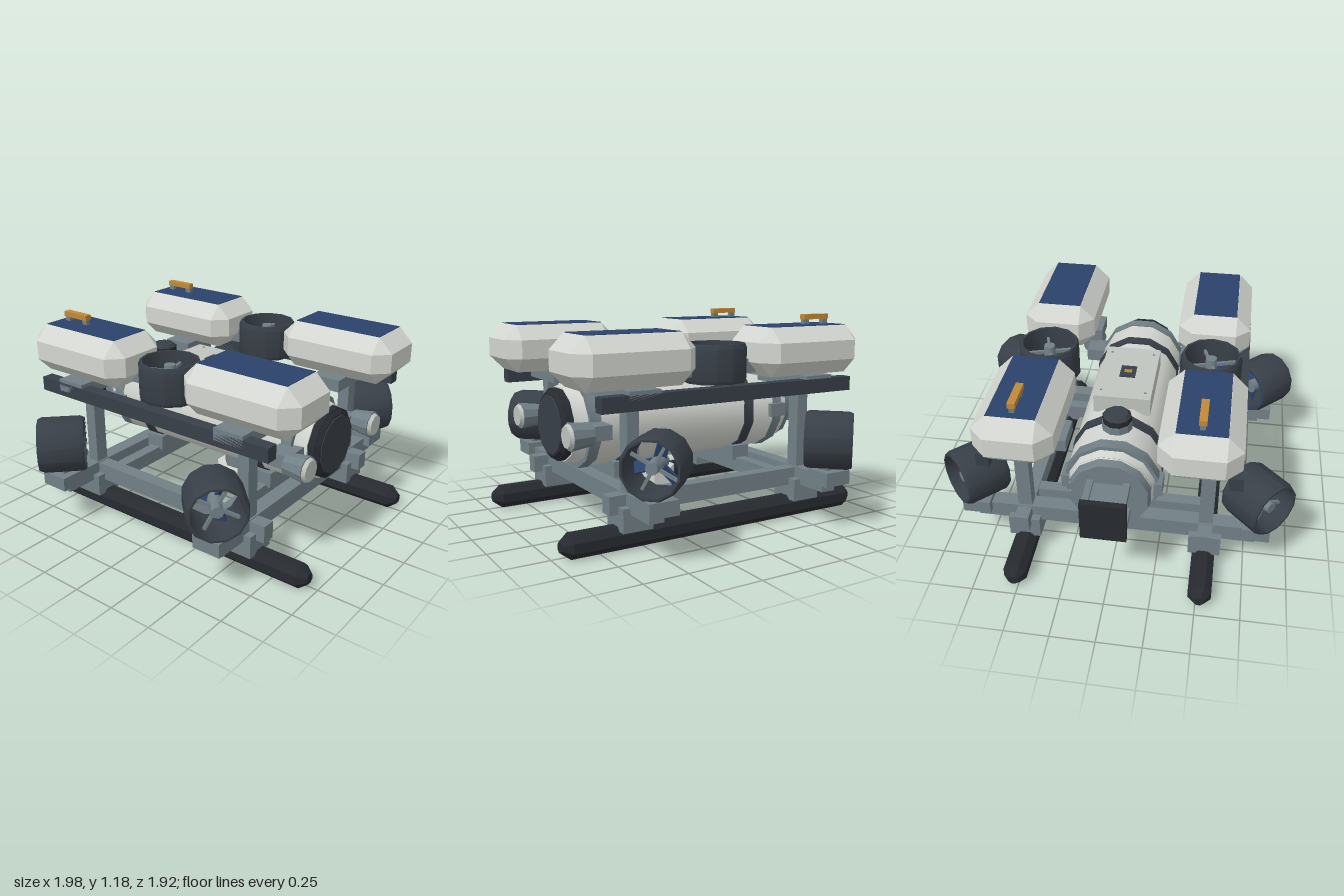
import * as THREE from 'three';
import { toCreasedNormals } from 'three/addons/utils/BufferGeometryUtils.js';
import { ConvexGeometry } from 'three/addons/geometries/ConvexGeometry.js';

const mat = (name, color) => {
  const m = new THREE.MeshStandardMaterial({ color });
  m.name = name;
  return m;
};

export function createModel() {
  const M = {
    light: mat('light shell', 0xd3d6d0),
    hatch: mat('hatch grey', 0xbfc4be),
    frame: mat('frame grey', 0x718086),
    dark: mat('dark housing', 0x383f47),
    black: mat('black rubber', 0x272b30),
    blue: mat('navy blue', 0x2b426a),
    orange: mat('orange', 0xc08a38),
  };
  const model = new THREE.Group();
  model.name = 'underwaterVehicle';

  const add = (name, geo, material, parent = model) => {
    const mesh = new THREE.Mesh(geo, material);
    mesh.name = name;
    parent.add(mesh);
    return mesh;
  };
  // box given by its extents
  const box = (name, m, x0, x1, y0, y1, z0, z1, parent) =>
    add(name, new THREE.BoxGeometry(Math.abs(x1 - x0), y1 - y0, Math.abs(z1 - z0))
      .translate((x0 + x1) / 2, (y0 + y1) / 2, (z0 + z1) / 2), m, parent);
  // round part along z
  const drum = (name, m, z0, z1, r0, r1, x = 0, y = 0.59, sides = 12, crease = 0.6) =>
    add(name, toCreasedNormals(new THREE.CylinderGeometry(r1, r0, z1 - z0, sides)
      .rotateY(Math.PI / sides).rotateX(Math.PI / 2).translate(x, y, (z0 + z1) / 2), crease), m);
  // round part along y
  const disc = (name, m, y0, y1, r0, r1, x, z, sides = 8, crease = 0.3) =>
    add(name, toCreasedNormals(new THREE.CylinderGeometry(r1, r0, y1 - y0, sides)
      .rotateY(Math.PI / sides).translate(x, (y0 + y1) / 2, z), crease), m);

  // Box with all edges and corners cut
  const chamferBox = (hx, hy, hz, c) => {
    const pts = [];
    for (const a of [-1, 1]) for (const b of [-1, 1]) for (const d of [-1, 1]) {
      pts.push(new THREE.Vector3(a * hx, b * (hy - c), d * (hz - c)),
        new THREE.Vector3(a * (hx - c), b * hy, d * (hz - c)),
        new THREE.Vector3(a * (hx - c), b * (hy - c), d * hz));
    }
    return new ConvexGeometry(pts);
  };

  // Ducted thruster, axis along its local y, mouth at +y
  const thruster = (name, r, len) => {
    const g = new THREE.Group();
    g.name = name;
    const h = len / 2, w = r * 0.87;
    const profile = [[r * 0.95, -h], [r, -h + 0.02], [r, h - 0.025], [r * 0.94, h],
      [w, h], [w * 0.95, 0], [w, -h], [r * 0.95, -h]].map(p => new THREE.Vector2(...p));
    add('duct', toCreasedNormals(new THREE.LatheGeometry(profile, 12), 0.6), M.dark, g);
    add('ductRim', new THREE.RingGeometry(w * 0.98, r * 0.96, 12)
      .rotateX(Math.PI / 2).translate(0, -h - 0.003, 0), M.blue, g).material = M.blue;
    add('motorHub', toCreasedNormals(new THREE.CylinderGeometry(0.032, 0.042, len * 0.75, 10), 0.7), M.frame, g);
    for (let i = 0; i < 4; i++) {
      add('strut', new THREE.BoxGeometry(w - 0.02, 0.02, 0.016)
        .translate(w / 2, h * 0.35, 0).rotateY(i * Math.PI / 2 + 0.3), M.frame, g);
    }
    for (let i = 0; i < 3; i++) {
      add('propellerBlade', new THREE.BoxGeometry(w * 0.7, 0.012, 0.065)
        .rotateX(0.6).translate(w * 0.55, -h * 0.3, 0).rotateY(i * Math.PI * 2 / 3), M.blue, g);
    }
    model.add(g);
    return g;
  };

  // Pressure hull
  drum('hullBody', M.light, -0.62, 0.6, 0.255, 0.255);
  drum('rearShoulder', M.light, -0.71, -0.62, 0.228, 0.245);
  drum('rearCap', M.frame, -0.755, -0.70, 0.215, 0.23);
  drum('frontShoulder', M.light, 0.6, 0.725, 0.245, 0.215);
  for (const s of [-1, 1]) {
    drum('hullBand', M.dark, s * 0.405 - 0.032, s * 0.405 + 0.032, 0.264, 0.264);
    drum('clampRing', M.frame, s * 0.62 - 0.032, s * 0.62 + 0.032, 0.26, 0.26);
    box('hullCradle', M.frame, -0.165, 0.165, 0.28, 0.37, s * 0.41 - 0.06, s * 0.41 + 0.06);
  }
  drum('windowCollar', M.black, 0.72, 0.765, 0.208, 0.205);
  drum('windowBezel', M.black, 0.765, 0.785, 0.2, 0.18, 0, 0.59, 12, 0.3);
  drum('frontWindow', M.dark, 0.782, 0.79, 0.172, 0.168);

  // Top hatch with latch
  box('hatch', M.hatch, -0.16, 0.16, 0.8, 0.91, -0.3, 0.21);
  box('latchPlate', M.dark, -0.045, 0.045, 0.908, 0.916, -0.1, 0.01);
  box('latchBar', M.orange, -0.022, 0.022, 0.914, 0.921, -0.058, -0.035);
  for (const x of [-0.125, 0.125]) for (const z of [-0.24, 0.15])
    box('hatchScrew', M.frame, x - 0.005, x + 0.005, 0.908, 0.914, z - 0.005, z + 0.005);

  // Sensor dome behind the hatch
  disc('sensorBase', M.frame, 0.8, 0.88, 0.085, 0.082, 0, -0.46, 10);
  disc('sensorDome', M.black, 0.88, 0.912, 0.08, 0.08, 0, -0.46, 10);
  disc('sensorCap', M.dark, 0.912, 0.93, 0.075, 0.06, 0, -0.46, 10);

  // Downward sonar
  disc('sonarMount', M.frame, 0.27, 0.37, 0.09, 0.09, 0, 0.135);
  disc('sonarBody', M.light, 0.18, 0.28, 0.14, 0.14, 0, 0.135);
  disc('sonarFace', M.black, 0.168, 0.182, 0.1, 0.1, 0, 0.135, 12);

  // Rear connector box
  box('rearBox', M.frame, -0.08, 0.08, 0.5, 0.68, -0.92, -0.74);
  for (const s of [-1, 1]) {
    box('rearBoxRail', M.frame, s * 0.08, s * 0.115, 0.66, 0.7, -0.92, -0.74);
    box('rearBoxRail', M.frame, s * 0.08, s * 0.115, 0.48, 0.52, -0.92, -0.74);
  }
  box('rearPlate', M.black, -0.122, 0.122, 0.47, 0.71, -0.955, -0.918);

  for (const s of [-1, 1]) {
    // Skid with tapered tips
    const skid = add('skid', new THREE.CylinderGeometry(0.07, 0.07, 1.82, 8)
      .rotateY(Math.PI / 8).rotateX(Math.PI / 2), M.black);
    skid.material = M.black;
    skid.geometry = toCreasedNormals(skid.geometry, 0.3);
    skid.position.set(s * 0.52, 0.068, 0);
    for (const e of [-1, 1]) {
      drum('skidTip', M.black, e > 0 ? 0.91 : -0.96, e > 0 ? 0.96 : -0.91,
        e > 0 ? 0.07 : 0.03, e > 0 ? 0.03 : 0.07, s * 0.52, 0.068, 8, 0.3);
    }

    // Side frame
    box('lowerRail', M.frame, s * 0.48, s * 0.56, 0.2, 0.3, -0.7, 0.7);
    box('upperRail', M.dark, s * 0.625, s * 0.695, 0.755, 0.835, -0.795, 0.8);

    // Front lamp and bracket
    drum('lampBody', M.frame, 0.7, 0.825, 0.06, 0.078, s * 0.36, 0.59, 10);
    drum('lampLens', M.hatch, 0.825, 0.845, 0.07, 0.06, s * 0.36, 0.59, 10);
    box('lampBracket', M.frame, s * 0.2, s * 0.37, 0.55, 0.63, 0.58, 0.71);
    box('clampLug', M.frame, s * 0.22, s * 0.275, 0.55, 0.63, -0.67, -0.56);

    // Vertical thruster
    thruster('verticalThruster', 0.176, 0.215).position.set(s * 0.47, 0.94, 0);

    for (const e of [-1, 1]) {
      const z = e * 0.56;
      box('post', M.frame, s * 0.48, s * 0.56, 0.2, 0.8, z - 0.035, z + 0.035);
      box('skidBlock', M.frame, s * 0.43, s * 0.612, 0.11, 0.24, z - 0.088, z + 0.088);
      box('floatSupport', M.frame, s * 0.245, s * 0.695, 0.785, 0.855, z - 0.09, z + 0.09);
      box('thrusterMount', M.frame, s * 0.717, s * 0.877, 0.255, 0.335, z - 0.085, z + 0.085);
      box('thrusterFoot', M.frame, s * 0.76, s * 0.83, 0.32, 0.365, z - 0.04, z + 0.04);
      box('verticalThrusterArm', M.frame, s * 0.44, s * 0.5, 0.87, 0.95, e * 0.165, e * 0.26);

      // Angled thruster facing outward
      const t = thruster('angledThruster', 0.163, 0.26);
      t.position.set(s * 0.795, 0.503, e * 0.558);
      t.quaternion.setFromUnitVectors(new THREE.Vector3(0, 1, 0),
        new THREE.Vector3(s, 0, e).normalize());

      // Float with coloured top
      const f = new THREE.Group();
      f.name = 'float';
      f.position.set(s * 0.47, 0.988, e * 0.563);
      model.add(f);
      add('floatShell', chamferBox(0.212, 0.138, 0.355, 0.083), M.light, f);
      box('floatTopPanel', M.blue, -0.127, 0.127, 0.136, 0.141, -0.27, 0.27, f);
      if (e < 0) {
        box('handleBar', M.orange, -0.02, 0.02, 0.168, 0.198, -0.235, -0.055, f);
        for (const hz of [-0.215, -0.075])
          box('handlePost', M.frame, -0.014, 0.014, 0.135, 0.175, hz - 0.018, hz + 0.018, f);
      }
    }
  }

  // Cross beams
  for (const e of [-1, 1]) {
    box('crossBeam', M.frame, -0.8, 0.8, 0.205, 0.305, e * 0.56 - 0.045, e * 0.56 + 0.045);
    box('cradleBeam', M.frame, -0.5, 0.5, 0.21, 0.295, e * 0.41 - 0.035, e * 0.41 + 0.035);
  }
  return model;
}
